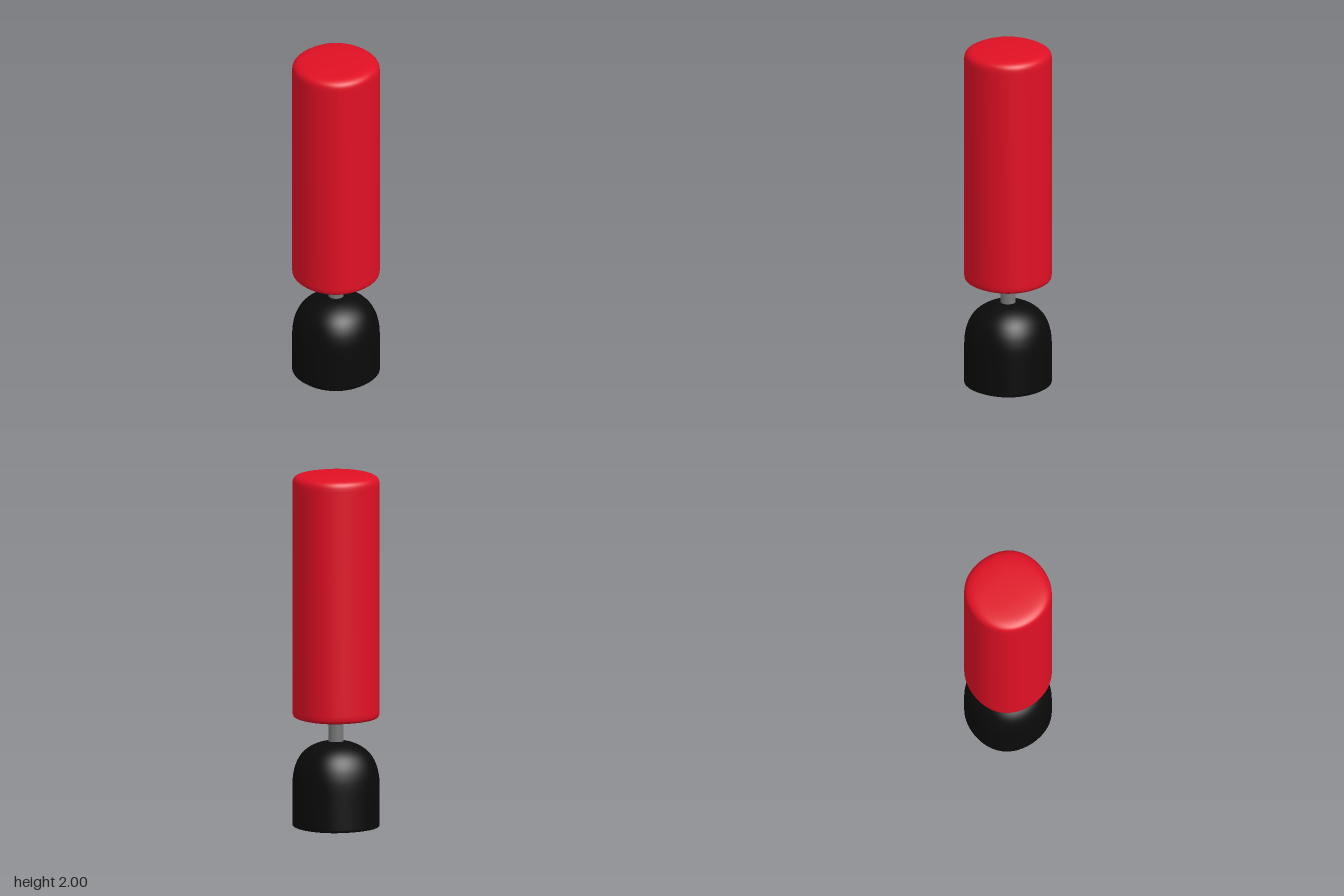
import * as THREE from 'three';
import { mergeVertices } from 'three/addons/utils/BufferGeometryUtils.js';

// Smooth curve through a few [radius, height] points
function curve(points, steps) {
  const spline = new THREE.SplineCurve(points.map(([r, y]) => new THREE.Vector2(r, y)));
  return spline.getPoints(steps).map(p => new THREE.Vector2(Math.max(p.x, 0), p.y));
}

// Turned body whose round section is slightly squared off towards the diagonals
function softBody(name, profile, color) {
  const geo = new THREE.LatheGeometry(profile, 64);
  const pos = geo.attributes.position;
  for (let i = 0; i < pos.count; i++) {
    const x = pos.getX(i), z = pos.getZ(i);
    const k = 1.0145 - 0.0145 * Math.cos(4 * Math.atan2(z, x));
    pos.setXYZ(i, x * k, pos.getY(i), z * k);
  }
  geo.deleteAttribute('uv');
  geo.deleteAttribute('normal');
  const welded = mergeVertices(geo, 1e-5);
  welded.computeVertexNormals();
  const mesh = new THREE.Mesh(welded, new THREE.MeshStandardMaterial({ color }));
  mesh.name = name;
  return mesh;
}

export function createModel() {
  const group = new THREE.Group();
  group.name = 'punchingBag';

  // Weighted base: flat foot, straight wall, domed top
  const base = softBody('base', [
    ...curve([[0, 0], [0.12, 0.002], [0.2, 0.006], [0.228, 0.01], [0.236, 0.018], [0.237, 0.03]], 20),
    ...curve([[0.237, 0.2], [0.236, 0.26], [0.231, 0.31], [0.217, 0.363], [0.19, 0.413],
      [0.15, 0.451], [0.1, 0.477], [0.05, 0.489], [0, 0.493]], 32),
  ], 0x0a0a0a);

  // Post between base and bag
  const post = new THREE.Mesh(
    new THREE.CylinderGeometry(0.043, 0.043, 0.2, 32),
    new THREE.MeshStandardMaterial({ color: 0x777777 }));
  post.name = 'post';
  post.position.y = 0.55;

  // Padded bag with rounded ends
  const bag = softBody('bag', [
    ...curve([[0, 0.61], [0.1, 0.611], [0.18, 0.615], [0.218, 0.622], [0.233, 0.635], [0.237, 0.66]], 24),
    ...curve([[0.237, 1.93], [0.234, 1.956], [0.222, 1.975], [0.195, 1.988], [0.15, 1.995],
      [0.08, 1.999], [0, 2]], 28),
  ], 0xe01024);

  group.add(base, post, bag);
  return group;
}
